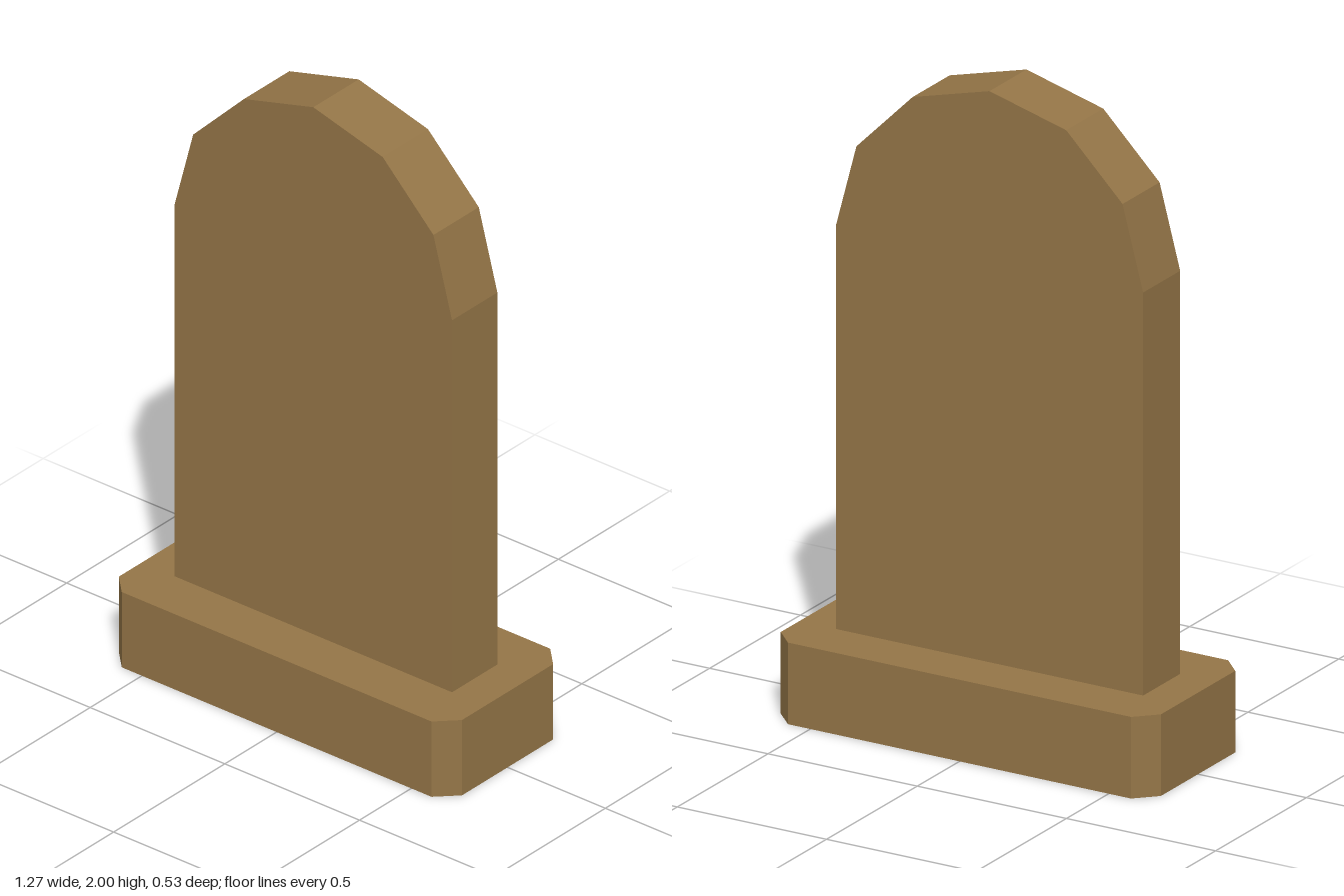
import * as THREE from 'three';

// Extrude a closed outline, centred on its depth
function slab(points, depth, material, name) {
  const geometry = new THREE.ExtrudeGeometry(new THREE.Shape(points), { depth, bevelEnabled: false });
  geometry.translate(0, 0, -depth / 2);
  const mesh = new THREE.Mesh(geometry, material);
  mesh.name = name;
  return mesh;
}

export function createModel() {
  const group = new THREE.Group();
  group.name = 'headstone';
  const brown = new THREE.MeshStandardMaterial({ color: 0x947547 });
  brown.name = 'brown stone';

  // Plinth: rectangle with cut corners
  const w = 0.637, d = 0.267, cut = 0.062, baseHeight = 0.25;
  const outline = [
    [w - cut, -d], [w, -d + cut], [w, d - cut], [w - cut, d],
    [-w + cut, d], [-w, d - cut], [-w, -d + cut], [-w + cut, -d],
  ].map(([x, y]) => new THREE.Vector2(x, y));
  const plinth = slab(outline, baseHeight, brown, 'plinth');
  plinth.rotation.x = -Math.PI / 2;
  plinth.position.y = baseHeight / 2;
  group.add(plinth);

  // Upright slab with a six-sided arch on top
  const r = 0.515, springY = 2 - r;
  const arch = [new THREE.Vector2(-r, baseHeight), new THREE.Vector2(r, baseHeight)];
  for (let i = 0; i <= 6; i++) {
    const a = (i * Math.PI) / 6;
    arch.push(new THREE.Vector2(r * Math.cos(a), springY + r * Math.sin(a)));
  }
  group.add(slab(arch, 0.204, brown, 'uprightSlab'));

  return group;
}
